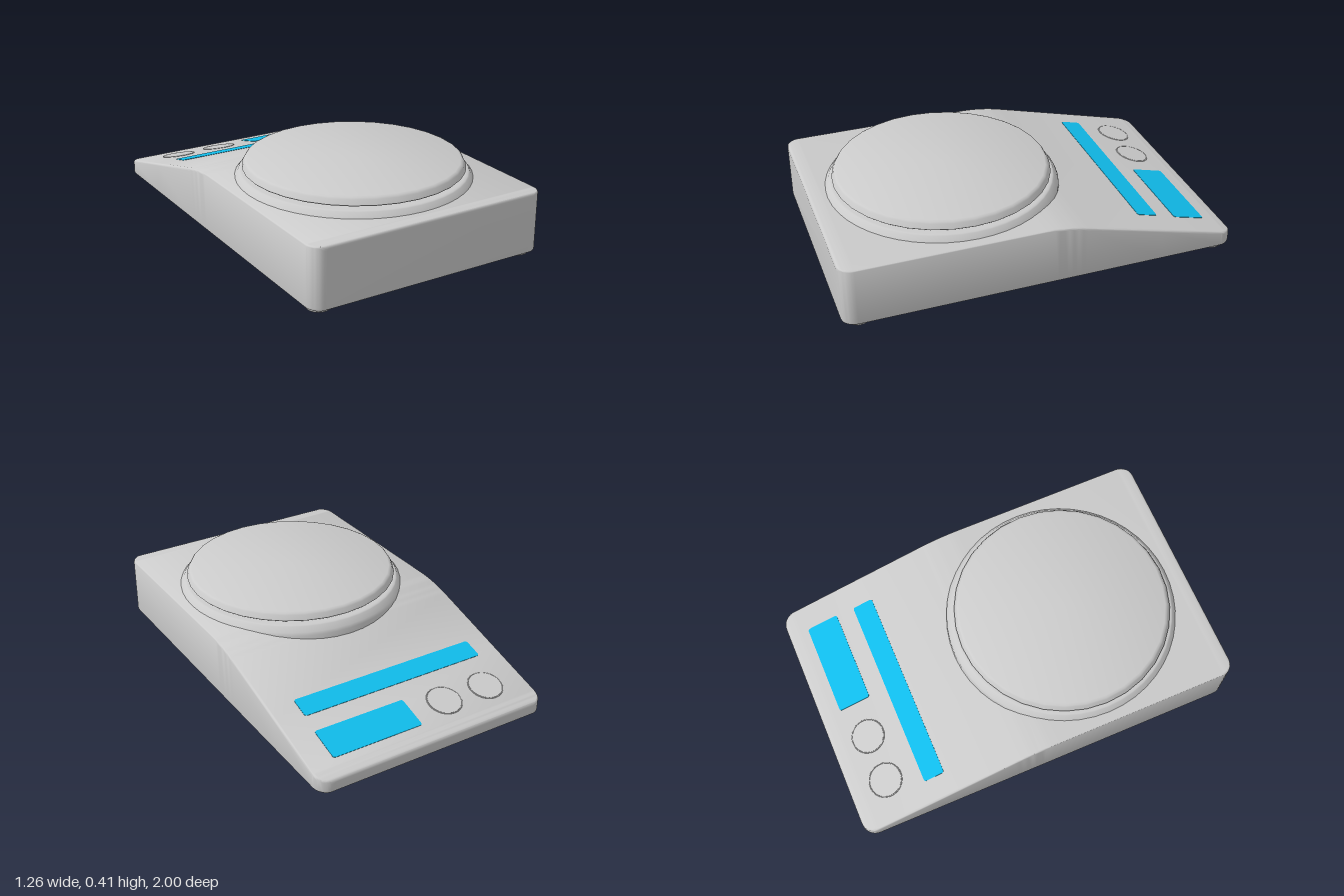
import * as THREE from 'three';
import { toCreasedNormals } from 'three/addons/utils/BufferGeometryUtils.js';

const W = 0.632, CORNER = 0.07, EDGE = 0.012, BASE = 0.02, TOP = 0.325;
const SLOPE = 0.263, PLATE_Z = 0.33;

const grey = new THREE.MeshStandardMaterial({ color: 0xcccccc });
const blue = new THREE.MeshStandardMaterial({ color: 0x10bdec });

const slopeY = z => 0.085 + SLOPE * (z + 1);

// Height of the housing: flat top blending smoothly into the sloped panel
function topY(z) {
  const bend = -1 + (TOP - 0.085) / SLOPE, half = 0.11;
  if (z >= bend + half) return TOP;
  if (z <= bend - half) return slopeY(z);
  return TOP - SLOPE * (bend + half - z) ** 2 / (4 * half);
}

// Housing lofted along z from rounded rectangular sections
function housingGeometry() {
  const depths = [0, 0.001, 0.0035, 0.007, EDGE];
  for (let i = 4; i <= 10; i++) depths.push(CORNER * (1 - Math.cos(i / 10 * Math.PI / 2)));
  depths.sort((a, b) => a - b);
  const rows = depths.map(d => d - 1);
  rows.push(-0.6);
  for (let i = 0; i <= 10; i++) rows.push(-0.2 + i * 0.024);
  rows.push(0.5, ...depths.map(d => 1 - d).reverse());

  const pos = [], index = [], steps = 4, n = 4 * (steps + 1);
  for (const z of rows) {
    const d = 1 - Math.abs(z);
    const c = Math.max(0, CORNER - d), e = Math.max(0, EDGE - d);
    const w = W - CORNER + Math.sqrt(CORNER ** 2 - c ** 2);
    const drop = EDGE - Math.sqrt(EDGE ** 2 - e ** 2);
    const hi = topY(z) - drop, lo = BASE + drop;
    for (let k = 0; k < 4; k++) {
      const sx = k === 0 || k === 3 ? 1 : -1, top = k < 2;
      for (let s = 0; s <= steps; s++) {
        const a = (k + s / steps) * Math.PI / 2;
        pos.push(sx * (w - EDGE) + EDGE * Math.cos(a),
          (top ? hi - EDGE : lo + EDGE) + EDGE * Math.sin(a), z);
      }
    }
  }
  const last = (rows.length - 1) * n;
  for (let i = 0; i < rows.length - 1; i++) {
    for (let j = 0; j < n; j++) {
      const a = i * n + j, b = i * n + (j + 1) % n;
      index.push(a, b, b + n, a, b + n, a + n);
    }
  }
  for (let j = 1; j < n - 1; j++) {
    index.push(0, j + 1, j, last, last + j, last + j + 1);
  }
  const g = new THREE.BufferGeometry();
  g.setAttribute('position', new THREE.Float32BufferAttribute(pos, 3));
  g.setIndex(index);
  return toCreasedNormals(g, 0.6);
}

function lathe(points, segments = 32) {
  const g = new THREE.LatheGeometry(points.map(p => new THREE.Vector2(...p)), segments);
  return toCreasedNormals(g, 0.6);
}

// Thin rounded panel lying in the xz plane, its top slightly above y = 0
function panelGeometry(w, h, r = 0.012) {
  const x = w / 2, y = h / 2, s = new THREE.Shape();
  s.absarc(x - r, y - r, r, 0, Math.PI / 2);
  s.absarc(-x + r, y - r, r, Math.PI / 2, Math.PI);
  s.absarc(-x + r, -y + r, r, Math.PI, Math.PI * 1.5);
  s.absarc(x - r, -y + r, r, Math.PI * 1.5, Math.PI * 2);
  const g = new THREE.ExtrudeGeometry(s, { depth: 0.006, bevelEnabled: false, curveSegments: 4 });
  return g.rotateX(-Math.PI / 2).translate(0, -0.004, 0);
}

export function createModel() {
  const model = new THREE.Group();
  model.name = 'kitchenScale';
  const add = (parent, name, geometry, x, y, z, material = grey) => {
    const mesh = new THREE.Mesh(geometry, material);
    mesh.name = name;
    mesh.position.set(x, y, z);
    parent.add(mesh);
    return mesh;
  };

  add(model, 'housing', housingGeometry(), 0, 0, 0);

  // Flared collar, hub and weighing plate
  add(model, 'collar', lathe([
    [0, 0.25], [0.59, 0.25], [0.587, 0.31], [0.58, 0.326], [0.571, 0.335],
    [0.562, 0.35], [0.556, 0.354], [0.545, 0.355], [0, 0.355],
  ], 48), 0, 0, PLATE_Z);
  add(model, 'hub', lathe([[0, 0.35], [0.115, 0.35], [0.127, 0.372], [0, 0.372]]), 0, 0, PLATE_Z);
  add(model, 'weighingPlate', lathe([
    [0, 0.37], [0.542, 0.37], [0.546, 0.374], [0.535, 0.398],
    [0.529, 0.406], [0.518, 0.411], [0, 0.411],
  ]), 0, 0, PLATE_Z);

  // Control panel, tilted to lie on the slope
  const tilt = Math.atan(SLOPE), midZ = -0.75;
  const controls = new THREE.Group();
  controls.name = 'controlPanel';
  controls.position.set(0, slopeY(midZ), midZ);
  controls.rotation.x = -tilt;
  model.add(controls);
  const along = z => (z - midZ) / Math.cos(tilt);

  add(controls, 'display', panelGeometry(0.485, 0.171), 0.257, 0, along(-0.812), blue);
  add(controls, 'labelStrip', panelGeometry(1.005, 0.109), -0.012, 0, along(-0.583), blue);
  for (const x of [-0.418, -0.172]) {
    add(controls, 'button', new THREE.CylinderGeometry(0.083, 0.083, 0.006, 32), x, -0.001, along(-0.811));
    add(controls, 'buttonRim', new THREE.TorusGeometry(0.086, 0.0025, 6, 32).rotateX(Math.PI / 2),
      x, 0, along(-0.811));
  }

  // Feet
  for (const x of [-0.555, 0.555]) {
    for (const z of [-0.913, 0.915]) {
      add(model, 'foot', lathe([[0, 0], [0.054, 0], [0.058, 0.004], [0.058, 0.024], [0, 0.024]], 24), x, 0, z);
    }
  }
  return model;
}
